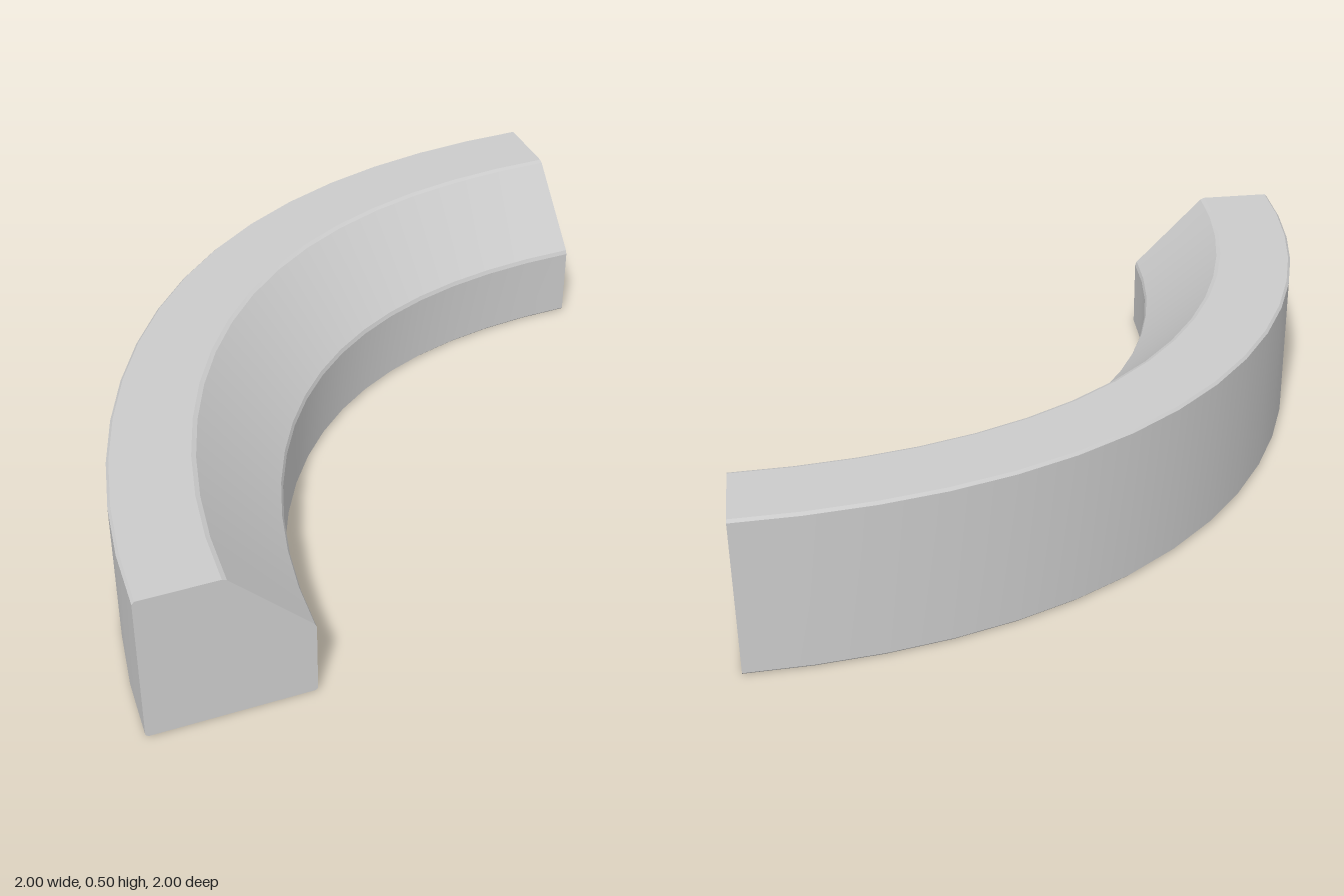
import * as THREE from 'three';
import { mergeGeometries } from 'three/addons/utils/BufferGeometryUtils.js';

const SEGMENTS = 16;
const BEVEL = 0.008;
const UP = new THREE.Vector3(0, 1, 0);

// Outer edge of the bend, from the back end round to the front end
const PATH = new THREE.CubicBezierCurve3(
  new THREE.Vector3(1, 0, -1), new THREE.Vector3(-0.5, 0, -1),
  new THREE.Vector3(-1, 0, 0.15), new THREE.Vector3(-1, 0, 1));

// Cross-section as (offset from the outer edge, height), counter-clockwise
const CORNERS = [[-0.5, 0], [0, 0], [0, 0.5], [-0.25, 0.5], [-0.5, 0.25]]
  .map(([d, y]) => new THREE.Vector2(d, y));

// Each corner is cut back slightly along both of its edges
const PROFILE = CORNERS.flatMap((p, i) => {
  const n = CORNERS.length;
  return [CORNERS[(i + n - 1) % n], CORNERS[(i + 1) % n]].map((q) =>
    p.clone().add(q.clone().sub(p).setLength(BEVEL)));
});

// Sweeps one profile edge along the path: smooth along the bend, sharp across it
function sweepEdge(a, b) {
  const geometry = new THREE.PlaneGeometry(1, 1, SEGMENTS, 1);
  const position = geometry.attributes.position;
  for (let i = 0; i < position.count; i++) {
    const u = position.getX(i) + 0.5;
    const { x: offset, y } = a.clone().lerp(b, position.getY(i) + 0.5);
    const outward = PATH.getTangentAt(u).cross(UP);
    const point = PATH.getPointAt(u).addScaledVector(outward, offset);
    position.setXYZ(i, point.x, y, point.z);
  }
  geometry.computeVertexNormals();
  return geometry;
}

export function createModel() {
  const group = new THREE.Group();
  group.name = 'quarterCurve';
  const material = new THREE.MeshStandardMaterial({ color: 0xcccccc });

  const add = (name, geometry) => {
    const mesh = new THREE.Mesh(geometry, material);
    mesh.name = name;
    group.add(mesh);
    return mesh;
  };

  add('curvedBody', mergeGeometries(
    PROFILE.map((p, i) => sweepEdge(p, PROFILE[(i + 1) % PROFILE.length]))));

  // Flat ends: one facing +x, the other facing +z
  const leftEnd = add('leftEnd', new THREE.ShapeGeometry(new THREE.Shape(PROFILE)));
  leftEnd.rotation.y = Math.PI / 2;
  leftEnd.position.set(1, 0, -1);

  const mirrored = PROFILE.map((p) => new THREE.Vector2(-p.x, p.y)).reverse();
  add('frontEnd', new THREE.ShapeGeometry(new THREE.Shape(mirrored))).position.set(-1, 0, 1);

  return group;
}
